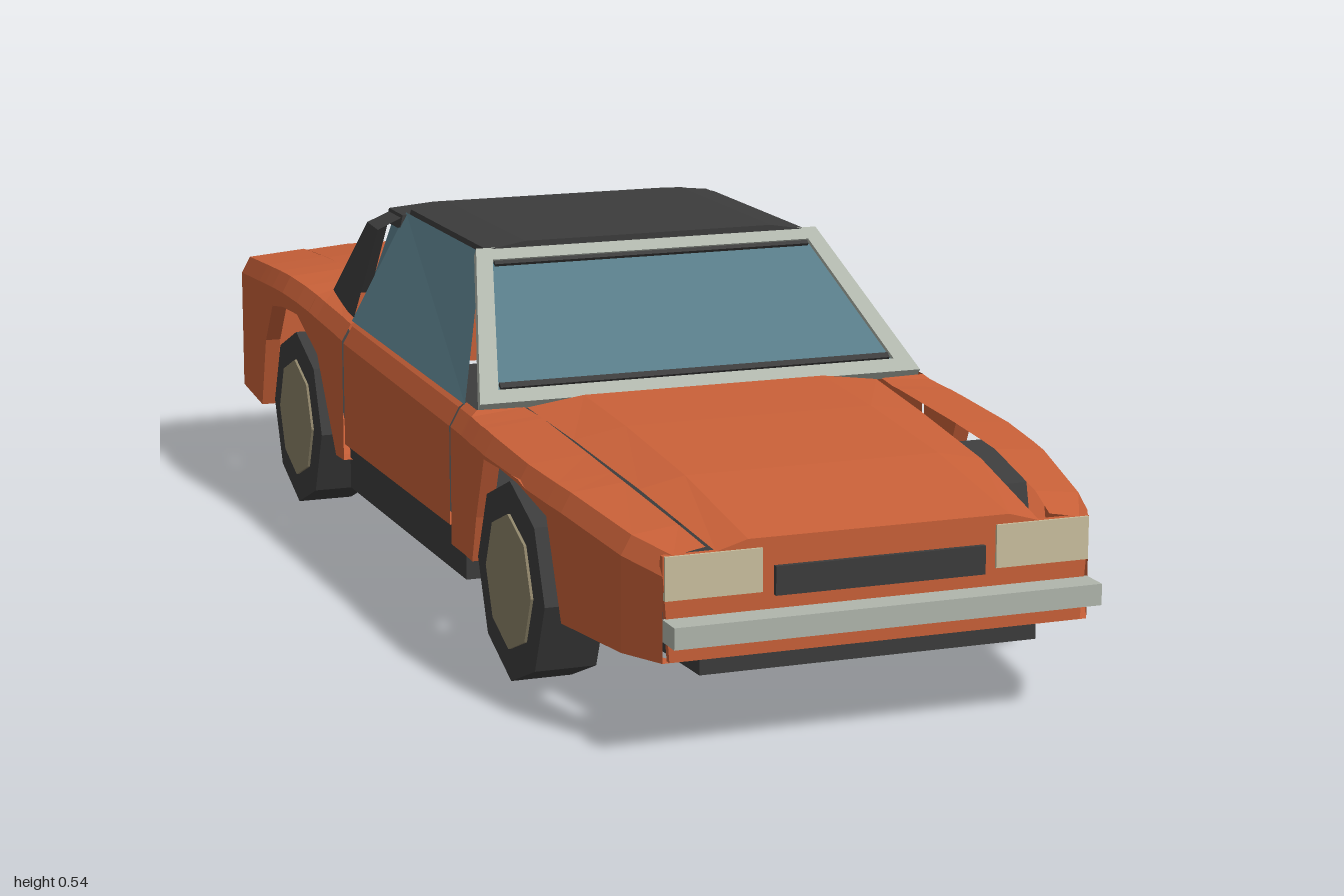
import * as THREE from 'three';

const mat = (name, color) => Object.assign(
  new THREE.MeshStandardMaterial({ color, flatShading: true, side: THREE.DoubleSide }), { name });

export function createModel() {
  const car = new THREE.Group();
  car.name = 'convertible';
  const paint = mat('orange paint', 0xc86038);
  const dark = mat('dark trim', 0x3c3c3c);
  const glass = mat('blue glass', 0x587c88);
  const chrome = mat('chrome', 0xb0b6ac);
  const lamp = mat('lamp cream', 0xcabf9e);
  const hubMat = mat('hub tan', 0x8c8268);

  const add = (name, geo, material, x = 0, y = 0, z = 0) => {
    const m = new THREE.Mesh(geo, material);
    m.name = name;
    m.position.set(x, y, z);
    car.add(m);
    return m;
  };
  const box = (name, material, w, h, d, x, y, z) =>
    add(name, new THREE.BoxGeometry(w, h, d), material, x, y, z);

  // Surface joining rows of points; side = -1 mirrors it across x
  const sheet = (rows, side = 1) => {
    const pos = [];
    const put = (...pts) => {
      if (side < 0) pts.reverse();
      pts.forEach(([x, y, z]) => pos.push(x * side, y, z));
    };
    for (let i = 0; i + 1 < rows.length; i++) {
      for (let j = 0; j + 1 < rows[i].length; j++) {
        const a = rows[i][j], b = rows[i][j + 1], c = rows[i + 1][j + 1], d = rows[i + 1][j];
        put(a, b, c);
        put(a, c, d);
      }
    }
    const g = new THREE.BufferGeometry();
    g.setAttribute('position', new THREE.Float32BufferAttribute(pos, 3));
    g.computeVertexNormals();
    return g;
  };
  const both = (name, rows, material) => {
    add(name + 'Left', sheet(rows), material);
    add(name + 'Right', sheet(rows, -1), material);
  };
  const polygon = (pts) => new THREE.Shape(pts.map(([x, y]) => new THREE.Vector2(x, y)));
  // Right half outline, bottom to top, mirrored into a closed shape
  const symmetric = (half) => polygon([...half, ...half.map(([x, y]) => [-x, y]).reverse()]);
  const extrude = (shape, depth) => new THREE.ExtrudeGeometry(shape, { depth, bevelEnabled: false });

  // Body sides: stations of [z, half width, lower edge, upper edge, inner x];
  // the lower edge rises over the wheels to form the arches
  const wing = (s) => s.map(([z, w, lo, hi, inner]) => [
    [w - 0.025, lo, z], [w, lo, z], [w, hi - 0.035, z], [w - 0.015, hi - 0.008, z], [inner, hi, z],
  ]);
  both('frontFender', wing([
    [0.957, 0.31, 0.13, 0.283, 0.25], [0.89, 0.343, 0.13, 0.298, 0.262],
    [0.73, 0.37, 0.13, 0.32, 0.278], [0.685, 0.375, 0.27, 0.323, 0.279],
    [0.59, 0.383, 0.3, 0.329, 0.28], [0.44, 0.383, 0.295, 0.336, 0.28],
    [0.4, 0.382, 0.2, 0.338, 0.28], [0.38, 0.382, 0.13, 0.338, 0.28],
    [0.33, 0.38, 0.13, 0.34, 0.284], [0.325, 0.38, 0.13, 0.34, 0.355],
    [0.277, 0.38, 0.13, 0.342, 0.355],
  ]), paint);
  both('door', wing([[0.271, 0.38, 0.158, 0.342, 0.355], [-0.279, 0.38, 0.158, 0.358, 0.355]]), paint);
  both('rearQuarter', wing([
    [-0.287, 0.38, 0.13, 0.36, 0.345], [-0.325, 0.382, 0.13, 0.365, 0.345],
    [-0.41, 0.387, 0.28, 0.374, 0.345], [-0.445, 0.39, 0.3, 0.379, 0.345],
    [-0.447, 0.39, 0.3, 0.379, 0.285], [-0.5, 0.395, 0.33, 0.385, 0.285],
    [-0.57, 0.4, 0.33, 0.389, 0.285], [-0.635, 0.4, 0.32, 0.387, 0.284],
    [-0.69, 0.398, 0.25, 0.383, 0.283], [-0.73, 0.396, 0.13, 0.38, 0.281],
    [-0.9, 0.383, 0.13, 0.364, 0.27], [-0.957, 0.355, 0.13, 0.34, 0.262],
  ]), paint);

  // Hood and rear deck: stations of [z, half width, edge y, crown half width, crown y]
  const lid = (s) => s.map(([z, w, e, c, y]) => [[-w, e, z], [-c, y, z], [c, y, z], [w, e, z]]);
  add('hood', sheet(lid([
    [0.957, 0.235, 0.275, 0.19, 0.288], [0.73, 0.257, 0.308, 0.19, 0.322],
    [0.5, 0.269, 0.327, 0.19, 0.341], [0.325, 0.278, 0.338, 0.19, 0.35],
  ])), paint);
  add('rearDeck', sheet(lid([
    [-0.447, 0.279, 0.374, 0.2, 0.382], [-0.57, 0.279, 0.386, 0.2, 0.393],
    [-0.73, 0.275, 0.378, 0.2, 0.385], [-0.9, 0.265, 0.362, 0.19, 0.368],
    [-0.957, 0.257, 0.338, 0.18, 0.344],
  ])), paint);

  // Nose and tail
  add('nosePanel', extrude(symmetric([[0.3, 0.13], [0.31, 0.25], [0.31, 0.275], [0.235, 0.275],
    [0.19, 0.288]]), 0.01), paint, 0, 0, 0.947);
  add('tailPanel', extrude(symmetric([[0.35, 0.13], [0.355, 0.305], [0.34, 0.33], [0.257, 0.338],
    [0.18, 0.344]]), 0.01), paint, 0, 0, -0.957);
  box('grille', dark, 0.305, 0.04, 0.009, 0, 0.229, 0.96);
  box('licensePlate', dark, 0.155, 0.04, 0.009, 0, 0.255, -0.96);
  box('frontBumper', chrome, 0.62, 0.03, 0.045, 0, 0.175, 0.9775);
  box('rearBumper', chrome, 0.67, 0.03, 0.045, 0, 0.175, -0.9775);
  for (const s of [1, -1]) {
    box('headlight', lamp, 0.138, 0.06, 0.008, s * 0.239, 0.245, 0.957);
    box('tailLight', lamp, 0.06, 0.034, 0.008, s * 0.172, 0.257, -0.958);
    box('sill', dark, 0.06, 0.075, 0.6, s * 0.335, 0.118, 0);
    box('innerRearPanel', glass, 0.006, 0.12, 0.2, s * 0.2, 0.265, -0.575);
  }

  // Chassis: side outline extruded across the car
  const chassis = extrude(polygon([[0.93, 0.13], [0.93, 0.1], [0.55, 0.088], [0.3, 0.075],
    [-0.3, 0.075], [-0.92, 0.095], [-0.92, 0.13]]), 0.494);
  chassis.translate(0, 0, -0.247).rotateY(-Math.PI / 2);
  add('chassis', chassis, dark);
  box('cabinFloor', dark, 0.62, 0.01, 0.58, 0, 0.135, 0);
  box('fuelTank', hubMat, 0.36, 0.008, 0.32, 0, 0.086, -0.73).rotation.x = 0.032;

  // Windshield: built upright, then leaned back
  const screen = new THREE.Group();
  screen.name = 'windshield';
  screen.position.set(0, 0.335, 0.315);
  screen.rotation.x = -0.904;
  const frame = symmetric([[0.35, 0], [0.277, 0.299]]);
  const pane = [[0.315, 0.025], [0.257, 0.275]];
  frame.holes.push(symmetric(pane));
  const parts = [
    ['windshieldFrame', extrude(frame, 0.016), chrome, 0, 0],
    ['windshieldGlass', extrude(symmetric(pane), 0.004), glass, 0, 0.006],
    ['lowerSeal', new THREE.BoxGeometry(0.62, 0.01, 0.008), dark, 0.034, 0.011],
    ['upperSeal', new THREE.BoxGeometry(0.51, 0.007, 0.008), dark, 0.27, 0.011],
  ];
  for (const [name, geo, material, y, z] of parts) {
    const m = new THREE.Mesh(geo, material);
    m.name = name;
    m.position.set(0, y, z);
    screen.add(m);
  }
  car.add(screen);

  // Soft top, rear bow and rear pillars
  add('roof', extrude(symmetric([[0.265, 0.515], [0.26, 0.53], [0.2, 0.54]]), 0.385), dark, 0, 0, -0.293);
  add('rearBow', extrude(symmetric([[0.28, 0.5], [0.275, 0.522], [0.2, 0.528]]), 0.075), dark, 0, 0, -0.365);
  both('rearPillar', [
    [[0.27, 0.52, -0.295], [0.315, 0.5, -0.295], [0.357, 0.36, -0.295]],
    [[0.27, 0.52, -0.36], [0.31, 0.5, -0.372], [0.35, 0.37, -0.45]],
    [[0.262, 0.515, -0.362], [0.275, 0.5, -0.37], [0.285, 0.37, -0.445]],
  ], dark);

  // Side and rear windows
  both('sideWindow', [
    [[0.36, 0.34, 0.285], [0.36, 0.355, -0.297]],
    [[0.267, 0.525, 0.085], [0.267, 0.525, -0.297]],
  ], glass);
  add('rearWindow', sheet([
    [[-0.265, 0.515, -0.363], [0.265, 0.515, -0.363]],
    [[-0.287, 0.37, -0.447], [0.287, 0.37, -0.447]],
  ]), glass);

  // Eight-sided wheels
  const tyreGeo = new THREE.CylinderGeometry(0.145, 0.145, 0.09, 8).rotateZ(Math.PI / 2);
  const hubGeo = new THREE.CylinderGeometry(0.098, 0.098, 0.006, 8).rotateZ(Math.PI / 2);
  for (const s of [1, -1]) {
    for (const z of [0.555, -0.55]) {
      add('tyre', tyreGeo, dark, s * 0.338, 0.145, z);
      add('hubcap', hubGeo, hubMat, s * 0.384, 0.145, z);
    }
  }
  return car;
}
